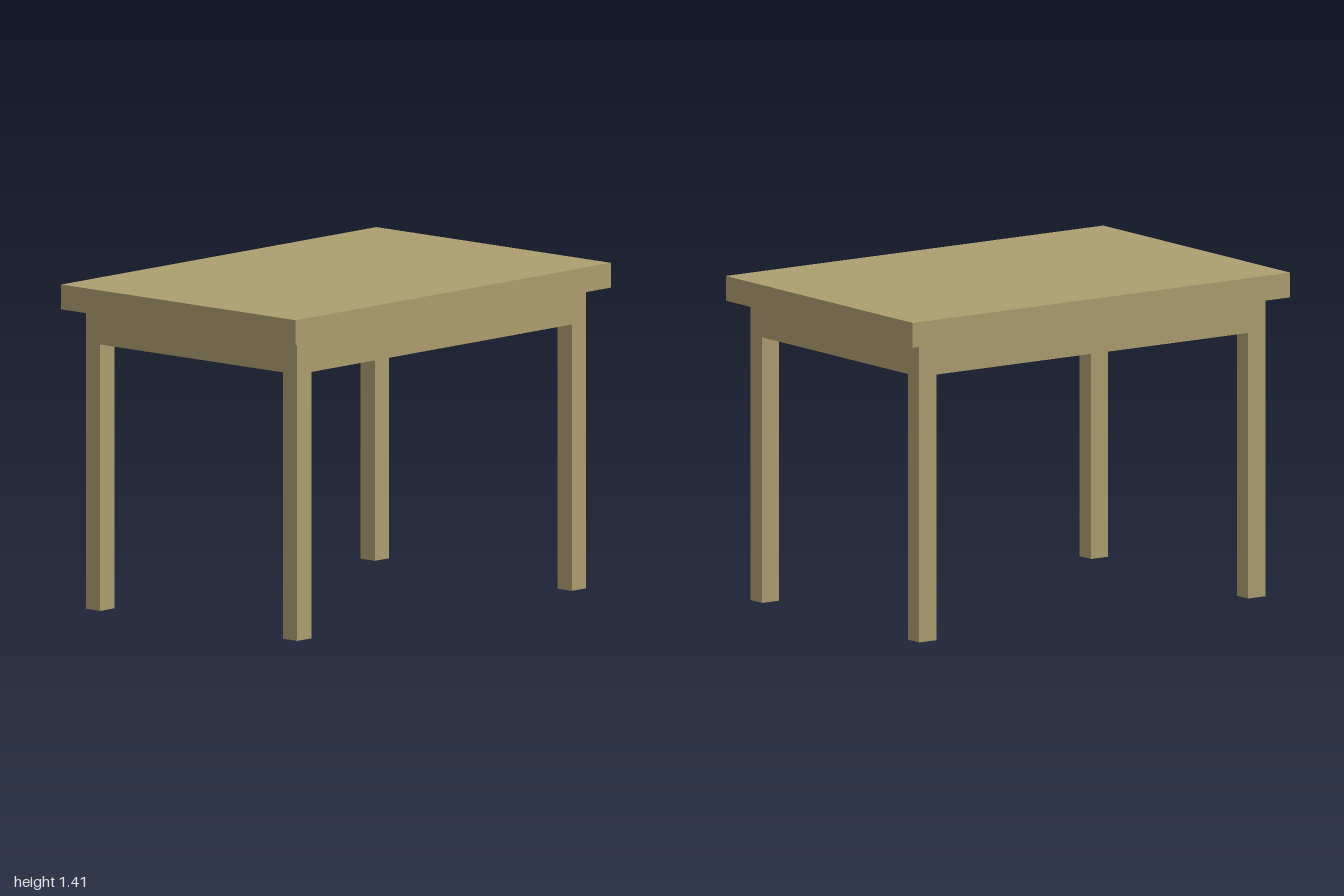
import * as THREE from 'three';

export function createModel() {
  const table = new THREE.Group();
  table.name = 'table';
  const wood = new THREE.MeshStandardMaterial({ color: 0xae9f70 });
  wood.name = 'wood';

  const apronBottom = 1.157, apronTop = 1.303, height = 1.411;
  const outerX = 0.917, outerZ = 0.613; // outer faces of legs and apron
  const innerX = 0.826, innerZ = 0.53; // inner faces

  function add(name, geometry, x, y, z) {
    const mesh = new THREE.Mesh(geometry, wood);
    mesh.name = name;
    mesh.position.set(x, y, z);
    table.add(mesh);
    return mesh;
  }

  // Tabletop slab
  add('tabletop', new THREE.BoxGeometry(2, height - apronTop, 1.36), 0, (height + apronTop) / 2, 0);

  // Apron: a rectangular ring as wide as the legs
  const rectangle = (shape, x, z) =>
    shape.moveTo(-x, -z).lineTo(x, -z).lineTo(x, z).lineTo(-x, z).closePath();
  const ring = rectangle(new THREE.Shape(), outerX, outerZ);
  ring.holes.push(rectangle(new THREE.Path(), innerX, innerZ));
  const apron = new THREE.ExtrudeGeometry(ring, { depth: apronTop - apronBottom, bevelEnabled: false });
  apron.rotateX(-Math.PI / 2);
  add('apron', apron, 0, apronBottom, 0);

  // Four legs, flush with the apron corners
  const leg = new THREE.BoxGeometry(outerX - innerX, apronBottom, outerZ - innerZ);
  for (const [side, sx] of [['Left', 1], ['Right', -1]]) {
    for (const [end, sz] of [['front', 1], ['back', -1]]) {
      add(`${end}${side}Leg`, leg, sx * (outerX + innerX) / 2, apronBottom / 2, sz * (outerZ + innerZ) / 2);
    }
  }
  return table;
}
